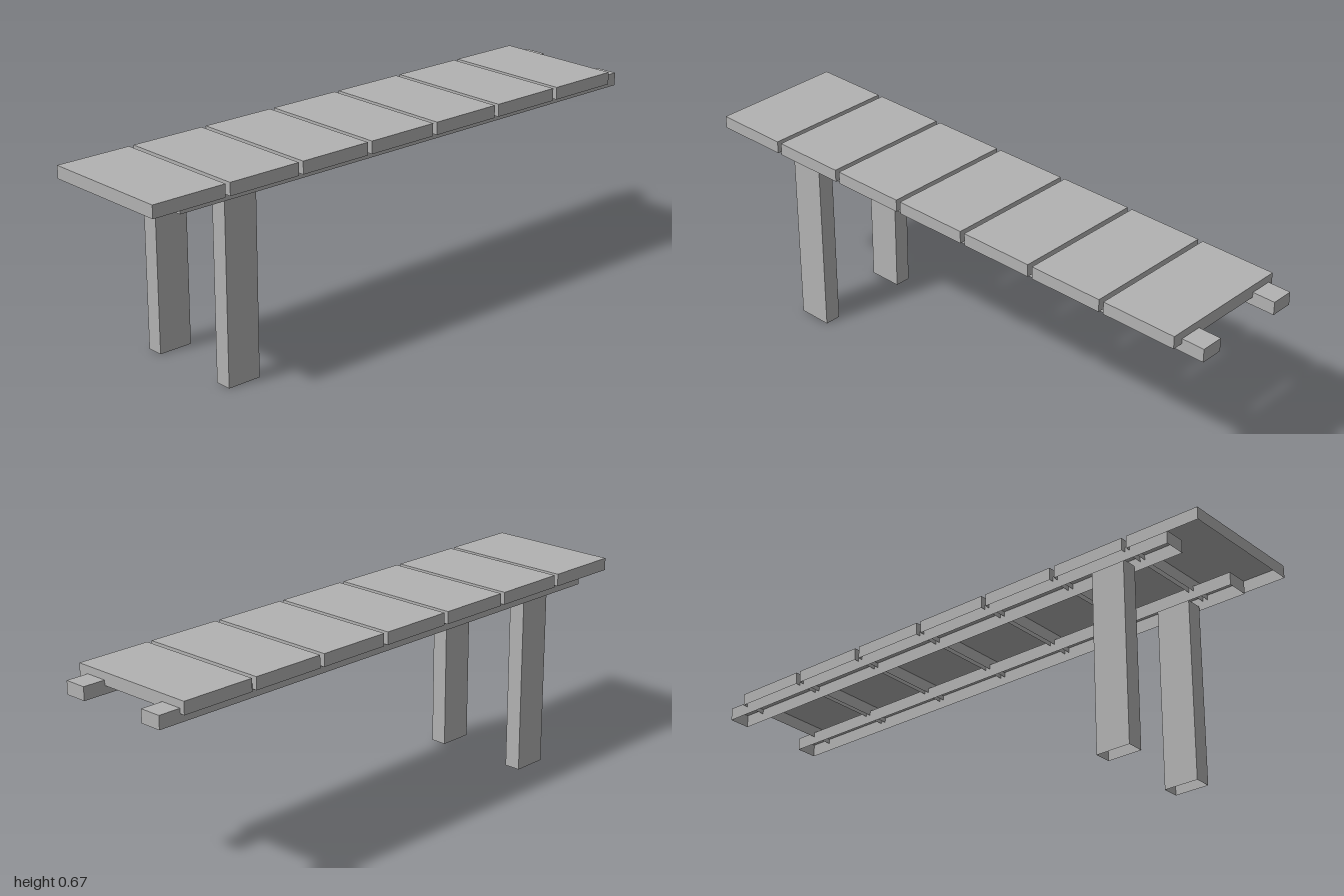
import * as THREE from 'three';

// Hollow box shell, open underneath, given by its min and max corners
function openBox(name, material, [x0, y0, z0], [x1, y1, z1]) {
  const geometry = new THREE.BoxGeometry(x1 - x0, y1 - y0, z1 - z0);
  const index = Array.from(geometry.index.array);
  index.splice(18, 6); // drop the bottom face
  geometry.setIndex(index);
  geometry.clearGroups();
  geometry.translate((x0 + x1) / 2, (y0 + y1) / 2, (z0 + z1) / 2);
  const mesh = new THREE.Mesh(geometry, material);
  mesh.name = name;
  return mesh;
}

export function createModel() {
  const model = new THREE.Group();
  model.name = 'plankWalkway';
  const grey = new THREE.MeshStandardMaterial({ color: 0xb2b2b2, side: THREE.DoubleSide });
  grey.name = 'plainGrey';

  // Seven deck planks, evenly spaced from the front
  const planks = new THREE.Group();
  planks.name = 'planks';
  for (let i = 0; i < 7; i++) {
    const front = 1 - i * 0.277;
    planks.add(openBox('plank' + (i + 1), grey, [-0.23, 0.626, front - 0.26], [0.23, 0.668, front]));
  }
  model.add(planks);

  // Long beams under the deck
  model.add(openBox('rightBeam', grey, [-0.213, 0.599, -1], [-0.137, 0.643, 0.877]));
  model.add(openBox('leftBeam', grey, [0.116, 0.599, -1], [0.193, 0.643, 0.877]));

  // Front legs, set slightly into the beams
  model.add(openBox('rightLeg', grey, [-0.207, 0, 0.592], [-0.15, 0.61, 0.711]));
  model.add(openBox('leftLeg', grey, [0.13, 0, 0.592], [0.187, 0.61, 0.711]));

  return model;
}
